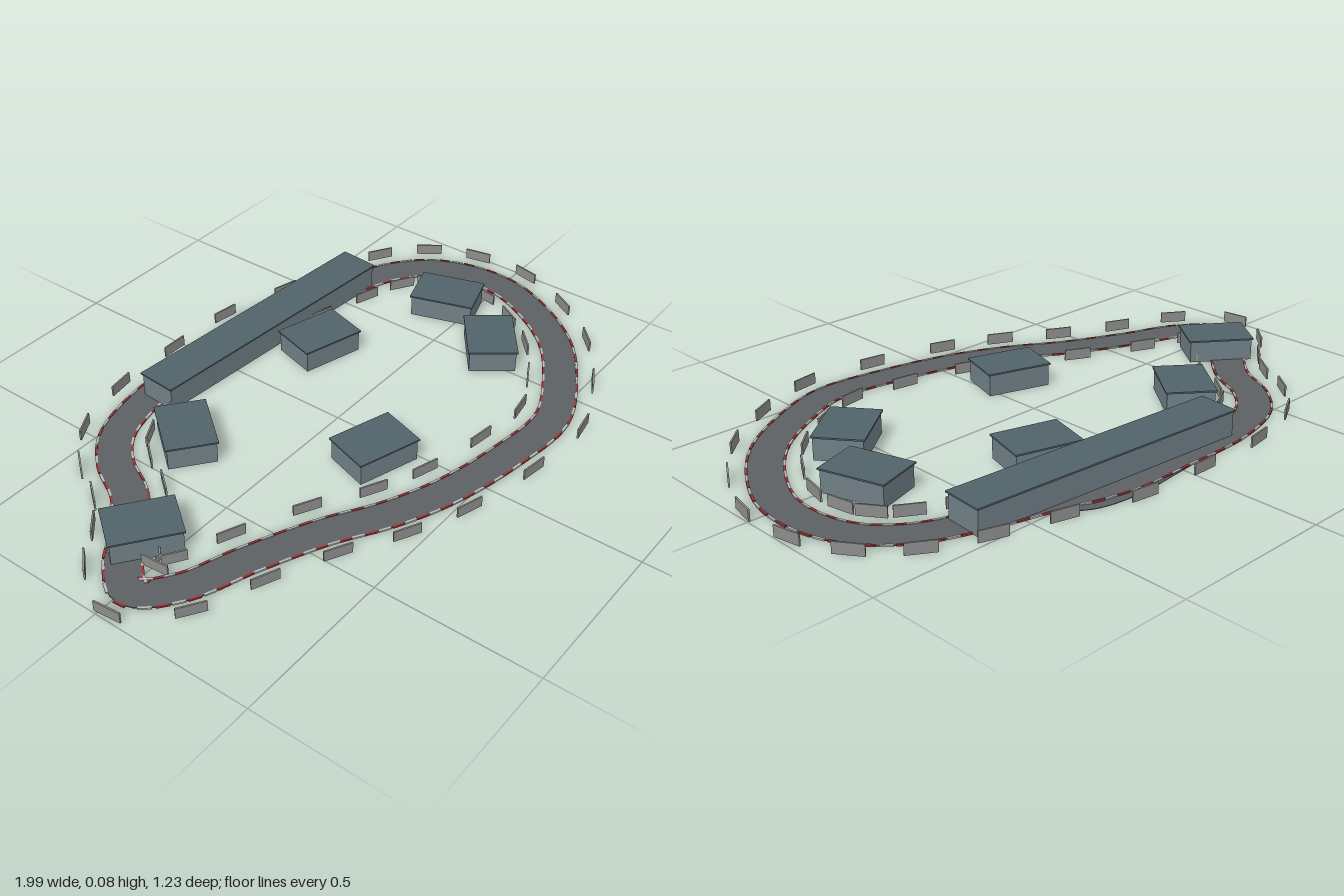
import * as THREE from 'three';

// One [x, z] per barrier station, running round the circuit from the hairpin
const STATIONS = [
  [-0.89, 0.02], [-0.8, 0.11], [-0.62, 0.18], [-0.42, 0.27], [-0.25, 0.37],
  [-0.08, 0.44], [0.15, 0.49], [0.37, 0.505], [0.55, 0.43], [0.71, 0.32],
  [0.82, 0.18], [0.89, 0.02], [0.89, -0.13], [0.84, -0.25], [0.74, -0.34],
  [0.59, -0.4], [0.4, -0.45], [0.18, -0.51], [-0.04, -0.515], [-0.27, -0.51],
  [-0.45, -0.46], [-0.55, -0.37], [-0.62, -0.25], [-0.72, -0.15], [-0.83, -0.07],
];

const toCurve = (pts, closed) =>
  new THREE.CatmullRomCurve3(pts.map(([x, z]) => new THREE.Vector3(x, 0, z)), closed);

const paint = (color) => new THREE.MeshStandardMaterial({ color });

// Unit vector pointing out of the circuit, given the direction of travel
const outward = (t) => new THREE.Vector3(-t.z, 0, t.x).normalize();

// Flat slab swept along a curve
function roadGeometry(curve, halfWidth, top, steps) {
  const pos = [], index = [];
  for (let i = 0; i <= steps; i++) {
    const p = curve.getPointAt(i / steps);
    const n = outward(curve.getTangentAt(i / steps));
    for (const [side, y] of [[1, top], [-1, top], [-1, 0], [1, 0]]) {
      pos.push(p.x + n.x * side * halfWidth, y, p.z + n.z * side * halfWidth);
    }
    if (i === steps) continue;
    for (let s = 0; s < 4; s++) {
      const a = i * 4 + s, b = i * 4 + (s + 1) % 4;
      index.push(a, a + 4, b + 4, a, b + 4, b);
    }
  }
  const g = new THREE.BufferGeometry();
  g.setAttribute('position', new THREE.Float32BufferAttribute(pos, 3));
  g.setIndex(index);
  const flat = g.toNonIndexed();
  flat.computeVertexNormals();
  return flat;
}

function addBox(parent, name, size, position, material) {
  const mesh = new THREE.Mesh(new THREE.BoxGeometry(...size), material);
  mesh.name = name;
  mesh.position.set(...position);
  parent.add(mesh);
  return mesh;
}

export function createModel() {
  const model = new THREE.Group();
  model.name = 'raceCircuit';
  const asphalt = paint(0x5c6063);
  asphalt.side = THREE.DoubleSide;
  const red = paint(0x9a3535), white = paint(0xb8b8b8);
  const concrete = paint(0x8c8c8c);
  const wall = paint(0x6f7f86), roof = paint(0x50626a);

  // Main track
  const line = toCurve(STATIONS, true);
  const track = new THREE.Mesh(roadGeometry(line, 0.051, 0.003, 240), asphalt);
  track.name = 'track';
  model.add(track);

  // Pit lane curving beside the track
  const pitLine = toCurve([[-0.2, -0.54], [0.02, -0.56], [0.2, -0.57], [0.33, -0.545], [0.42, -0.47]], false);
  const pitLane = new THREE.Mesh(roadGeometry(pitLine, 0.014, 0.002, 40), asphalt);
  pitLane.name = 'pitLane';
  model.add(pitLane);

  // Alternating kerb blocks along both edges
  const kerbs = new THREE.Group();
  kerbs.name = 'kerbs';
  const kerbCount = 120;
  for (let i = 0; i < kerbCount; i++) {
    const p = line.getPointAt(i / kerbCount), t = line.getTangentAt(i / kerbCount);
    const n = outward(t);
    for (const side of [1, -1]) {
      const q = p.clone().addScaledVector(n, side * 0.051);
      const block = addBox(kerbs, 'kerb', [0.036, 0.005, 0.007], [q.x, 0.0025, q.z], i % 2 ? white : red);
      block.rotation.y = -Math.atan2(t.z, t.x);
    }
  }
  model.add(kerbs);

  // Short wall panels on both sides of the track
  const barriers = new THREE.Group();
  barriers.name = 'barriers';
  STATIONS.forEach((_, i) => {
    const u = i / STATIONS.length;
    const p = line.getPoint(u), t = line.getTangent(u), n = outward(t);
    for (const side of [1, -1]) {
      const q = p.clone().addScaledVector(n, side * 0.098);
      const panel = addBox(barriers, 'barrier', [0.085, 0.034, 0.005], [q.x, 0.017, q.z], concrete);
      panel.rotation.y = -Math.atan2(t.z, t.x);
    }
  });
  model.add(barriers);

  // Building made of equal bays under one thin overhanging roof
  function addBuilding(name, x, z, degrees, length, depth, height, bays) {
    const b = new THREE.Group();
    b.name = name;
    const roofThickness = 0.005, bay = (length - 0.01) / bays;
    for (let i = 0; i < bays; i++) {
      addBox(b, 'bay', [bay, height - roofThickness, depth - 0.01],
        [(i - (bays - 1) / 2) * bay, (height - roofThickness) / 2, 0], wall);
    }
    addBox(b, 'roof', [length, roofThickness, depth], [0, height - roofThickness / 2, 0], roof);
    b.position.set(x, 0, z);
    b.rotation.y = -THREE.MathUtils.degToRad(degrees);
    model.add(b);
  }

  addBuilding('pitBuilding', 0.185, -0.435, 4.3, 0.918, 0.13, 0.082, 5);

  // Grandstands: x, z, heading
  for (const [x, z, degrees] of [
    [-0.73, -0.09, 36.5], [-0.36, -0.27, 128], [0.24, -0.255, 16],
    [0.675, -0.07, 72.5], [0.55, 0.175, -37.5], [-0.085, 0.195, 17.5],
  ]) addBuilding('grandstand', x, z, degrees, 0.207, 0.153, 0.072, 1);

  return model;
}
